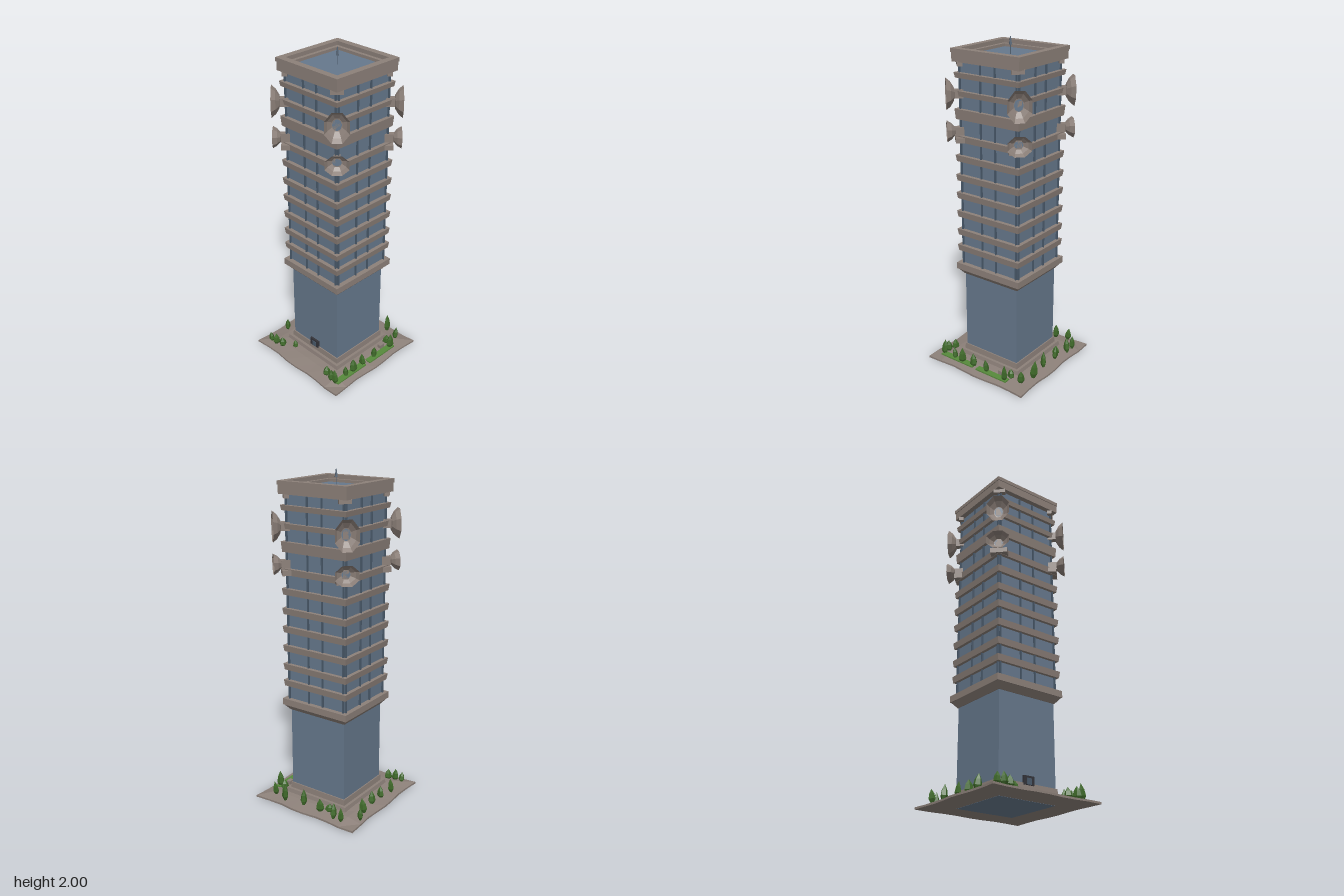
import * as THREE from 'three';

const mat = (name, color, side = THREE.FrontSide) => {
  const m = new THREE.MeshStandardMaterial({ color, side, flatShading: true });
  m.name = name;
  return m;
};

export function createModel() {
  const stone = mat('stone', 0x8c8079, THREE.DoubleSide);
  const glass = mat('blue glass', 0x66788c, THREE.DoubleSide);
  const darkGlass = mat('dark glass', 0x4a5a6b);
  const dark = mat('dark metal', 0x34343a);
  const leaf = mat('foliage', 0x3f6a2a);
  const grass = mat('grass', 0x578a3c);

  const model = new THREE.Group();
  model.name = 'tower';
  const tower = new THREE.Group();
  tower.name = 'building';
  tower.position.z = -0.01;
  model.add(tower);

  const add = (parent, name, geo, material, x = 0, y = 0, z = 0) => {
    const mesh = new THREE.Mesh(geo, material);
    mesh.name = name;
    mesh.position.set(x, y, z);
    parent.add(mesh);
    return mesh;
  };
  // square block between two heights, with half widths at bottom and top
  const block = (name, y0, y1, half0, half1, material) => {
    const geo = new THREE.CylinderGeometry(half1 * Math.SQRT2, half0 * Math.SQRT2, y1 - y0, 4);
    geo.rotateY(Math.PI / 4);
    return add(tower, name, geo, material, 0, (y0 + y1) / 2, 0);
  };
  // square frame with an open middle
  const frame = (name, y0, y1, outer, inner) => {
    const square = (h, Type) => new Type([[-h, -h], [h, -h], [h, h], [-h, h]].map(p => new THREE.Vector2(...p)));
    const shape = square(outer, THREE.Shape);
    shape.holes.push(square(inner, THREE.Path));
    const geo = new THREE.ExtrudeGeometry(shape, { depth: y1 - y0, bevelEnabled: false });
    geo.rotateX(-Math.PI / 2);
    return add(tower, name, geo, stone, 0, y0, 0);
  };

  // uneven ground slab, rising gently towards the building
  const ground = new THREE.BoxGeometry(0.71, 0.01, 0.71, 8, 1, 8);
  const gp = ground.attributes.position;
  for (let i = 0; i < gp.count; i++) {
    const x = gp.getX(i), y = gp.getY(i), z = gp.getZ(i);
    const edge = Math.max(Math.abs(x), Math.abs(z));
    const wob = 0.006 * Math.sin(x * 23 + z * 17);
    gp.setX(i, x + (edge > 0.3 ? wob : 0));
    gp.setZ(i, z + (edge > 0.3 ? 0.006 * Math.sin(x * 19 - z * 11) : 0));
    if (y > 0) gp.setY(i, y + Math.min(0.022, (0.355 - edge) * 0.2) + Math.abs(wob) * 0.4);
  }
  ground.computeVertexNormals();
  add(model, 'ground', ground, stone, 0, 0.005, 0);
  add(model, 'foundation', new THREE.BoxGeometry(0.38, 0.004, 0.38), glass, 0, 0.001, -0.01);

  // plinth, shaft and flared collar
  block('lowerPlinth', 0.01, 0.055, 0.23, 0.22, stone);
  block('upperPlinth', 0.05, 0.09, 0.203, 0.2, stone);
  block('shaft', 0.08, 0.59, 0.193, 0.193, glass);
  block('collarFlare', 0.58, 0.615, 0.198, 0.225, stone);
  block('collar', 0.615, 0.655, 0.23, 0.23, stone);
  block('upperCore', 0.65, 1.88, 0.2, 0.2, glass);

  // floor bands
  const bands = [0.755, 0.857, 0.972, 1.088, 1.198, 1.315, 1.432, 1.575, 1.693, 1.795];
  bands.forEach((y, i) => {
    const h = i === 7 ? 0.06 : i > 7 ? 0.03 : 0.038;
    block('floorBand', y - h / 2, y + h / 2, 0.219, 0.224, stone);
  });

  // window posts on all four sides of every floor
  const levels = [0.635, ...bands, 1.88];
  for (let side = 0; side < 4; side++) {
    const facade = new THREE.Group();
    facade.name = 'windowPosts';
    facade.rotation.y = side * Math.PI / 2;
    tower.add(facade);
    for (let i = 0; i < levels.length - 1; i++) {
      const y0 = levels[i] + 0.015, h = levels[i + 1] - levels[i] - 0.03;
      for (const x of [-0.195, -0.05, 0.05, 0.195]) {
        add(facade, 'post', new THREE.BoxGeometry(0.007, h, 0.014), darkGlass, x, y0 + h / 2, 0.204);
      }
    }
  }

  // parapet, sunken roof and mast
  frame('parapetLower', 1.87, 1.92, 0.231, 0.173);
  frame('parapetUpper', 1.92, 1.943, 0.235, 0.195);
  add(tower, 'roof', new THREE.BoxGeometry(0.36, 0.02, 0.36), glass, 0, 1.893, 0);
  add(tower, 'mast', new THREE.CylinderGeometry(0.003, 0.003, 0.07, 4), darkGlass, 0, 1.93, 0);
  add(tower, 'mastHead', new THREE.CylinderGeometry(0.003, 0.011, 0.045, 4), darkGlass, 0, 1.9775, 0);

  // dishes on every corner at two heights
  const dishProfile = [[0.001, 0], [0.03, 0.006], [0.055, 0.025], [0.072, 0.05]].map(p => new THREE.Vector2(...p));
  const bowl = new THREE.LatheGeometry(dishProfile, 8, Math.PI / 8).rotateX(Math.PI / 2);
  for (let corner = 0; corner < 4; corner++) {
    const arm = new THREE.Group();
    arm.name = 'cornerDishes';
    arm.rotation.y = Math.PI / 4 + corner * Math.PI / 2;
    tower.add(arm);
    for (const [y, tall] of [[1.69, 1.3], [1.475, 0.85]]) {
      const dish = add(arm, 'dish', bowl, stone, 0, y, 0.312);
      dish.scale.y = tall;
      const centre = add(arm, 'dishCentre', new THREE.CircleGeometry(0.026, 8), glass, 0, y, 0.32);
      centre.scale.y = tall;
      add(arm, 'dishMount', new THREE.BoxGeometry(0.035, 0.05, 0.06), stone, 0, y, 0.29);
    }
    add(arm, 'dishBracket', new THREE.BoxGeometry(0.1, 0.03, 0.05), stone, 0, 1.43, 0.29);
    add(arm, 'parapetCorner', new THREE.BoxGeometry(0.07, 0.025, 0.03), stone, 0, 1.86, 0.283);
  }

  // entrance
  add(tower, 'door', new THREE.BoxGeometry(0.07, 0.05, 0.02), dark, 0, 0.105, 0.195);
  add(tower, 'doorGlass', new THREE.BoxGeometry(0.03, 0.035, 0.006), darkGlass, 0, 0.1, 0.205);

  // service box and lawns beside the building
  add(model, 'serviceBox', new THREE.BoxGeometry(0.025, 0.035, 0.035), stone, 0.265, 0.035, -0.145);
  add(model, 'lawn', new THREE.BoxGeometry(0.04, 0.008, 0.23), grass, 0.3, 0.026, -0.1);
  add(model, 'lawn', new THREE.BoxGeometry(0.04, 0.008, 0.25), grass, 0.296, 0.026, 0.17);

  // slim faceted shrubs: x, z, height
  const shrubs = [
    [-0.25, -0.315, 0.09], [-0.195, -0.315, 0.1], [-0.13, -0.27, 0.06], [-0.085, -0.295, 0.09],
    [0.04, -0.295, 0.11], [0.17, -0.31, 0.12], [0.26, -0.285, 0.09], [0.255, -0.21, 0.07],
    [0.3, -0.19, 0.11], [0.29, -0.05, 0.09], [0.29, 0.05, 0.09], [0.295, 0.14, 0.1],
    [0.29, 0.2, 0.08], [0.29, 0.29, 0.1], [0.2, 0.28, 0.07], [0.25, 0.29, 0.08],
    [-0.33, -0.23, 0.08], [-0.305, -0.155, 0.1], [-0.29, -0.045, 0.09], [-0.29, 0.055, 0.08],
    [-0.305, 0.15, 0.09], [-0.29, 0.3, 0.07], [-0.245, 0.3, 0.08], [-0.2, 0.285, 0.07], [-0.125, 0.24, 0.06],
  ];
  const shrubProfile = [[0.008, 0], [0.021, 0.3], [0.016, 0.65], [0.0005, 1]].map(p => new THREE.Vector2(...p));
  const shrubGeo = new THREE.LatheGeometry(shrubProfile, 5);
  shrubs.forEach(([x, z, h], i) => {
    const shrub = add(model, 'shrub', shrubGeo, leaf, x, 0.015, z);
    shrub.scale.set(0.85 + 0.3 * (i % 3) / 2, h, 0.85 + 0.4 * (i % 4) / 3);
    shrub.rotation.y = i * 1.7;
    shrub.rotation.z = 0.12 * Math.sin(i * 2.3);
  });

  return model;
}
